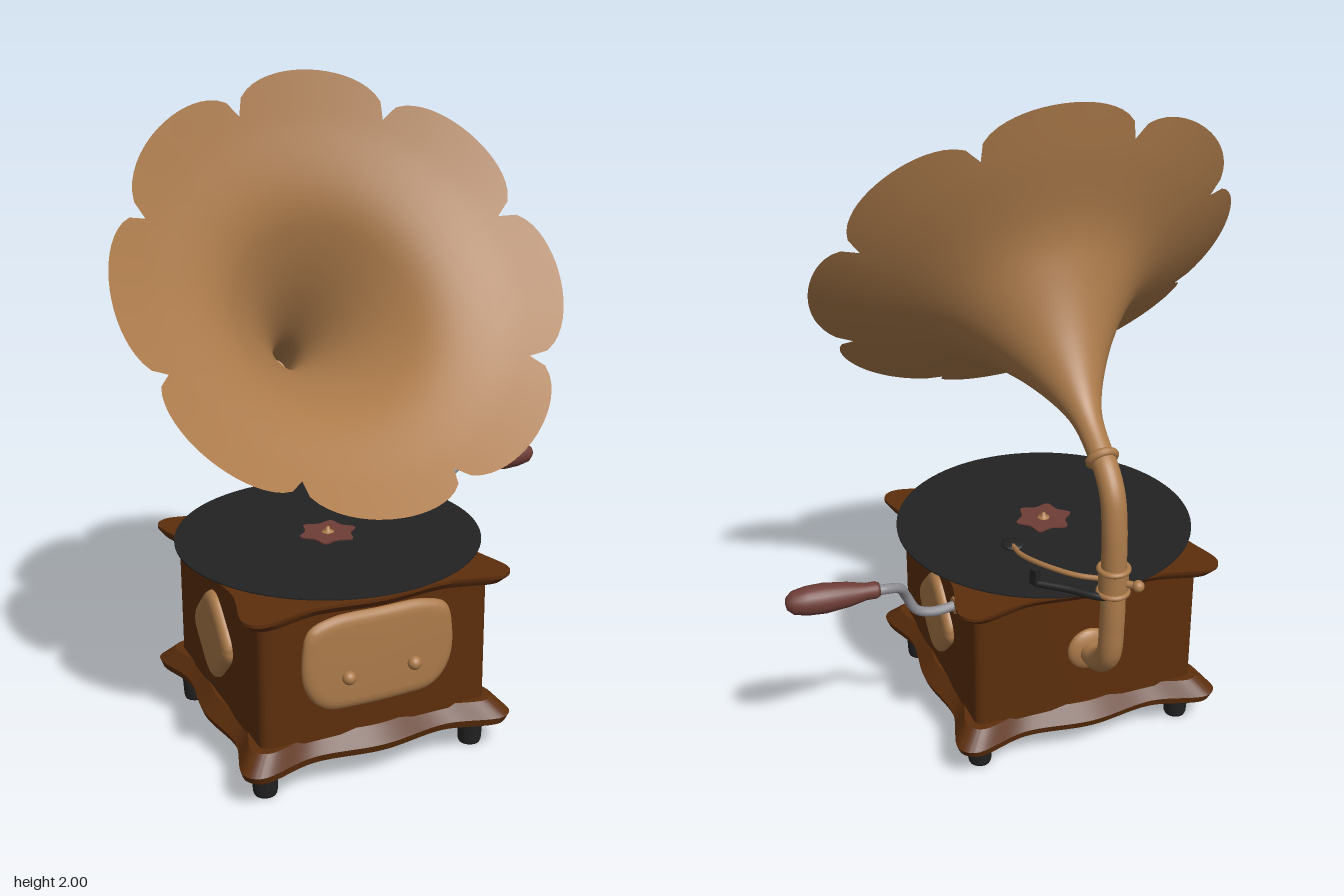
import * as THREE from 'three';
import { toCreasedNormals } from 'three/addons/utils/BufferGeometryUtils.js';

const mat = (name, color, extra = {}) => Object.assign(new THREE.MeshStandardMaterial({ color, ...extra }), { name });
const V2 = (x, y) => new THREE.Vector2(x, y);
const V3 = (x, y, z) => new THREE.Vector3(x, y, z);

function add(parent, name, geometry, material, x = 0, y = 0, z = 0) {
  const mesh = new THREE.Mesh(geometry, material);
  mesh.name = name;
  mesh.position.set(x, y, z);
  parent.add(mesh);
  return mesh;
}

const tube = (points, r, n = 48, sides = 16) =>
  new THREE.TubeGeometry(new THREE.CatmullRomCurve3(points.map(p => V3(...p))), n, r, sides);
const lathe = (points, n = 32) => new THREE.LatheGeometry(points.map(p => V2(...p)), n);

// closed smooth outline through a few points
const outline = (points, n = 96) =>
  new THREE.Shape(new THREE.CatmullRomCurve3(points.map(p => V3(p[0], p[1], 0)), true, 'centripetal')
    .getPoints(n).slice(0, n).map(p => V2(p.x, p.y)));

// upright slab whose outline is scaled by a rule of the relative height
function slab(shape, height, steps, scaleAt = () => 1) {
  const g = new THREE.ExtrudeGeometry(shape, { depth: height, steps, bevelEnabled: false });
  g.rotateX(-Math.PI / 2);
  const p = g.attributes.position;
  for (let i = 0; i < p.count; i++) {
    const s = scaleAt(p.getY(i) / height);
    p.setX(i, p.getX(i) * s);
    p.setZ(i, p.getZ(i) * s);
  }
  return toCreasedNormals(g, 0.6);
}

// wavy rectangular board with flared corners
function wavyShape(w, d, dip) {
  const pts = [];
  for (const [sx, sy, alongX] of [[1, 1, true], [-1, 1, false], [-1, -1, true], [1, -1, false]]) {
    const order = sx * sy > 0 ? 1 : -1;
    for (const t of [0.91, 0.5, 0, -0.5, -0.91]) {
      const cut = Math.abs(t) === 0.5 ? dip : t === 0 ? dip * 0.4 : 0;
      pts.push(alongX ? [sx * w * t * order, sy * (d - cut)] : [sx * (w - cut), sy * d * t * -order]);
    }
  }
  return outline(pts, 160);
}

function roundedRect(w, d, r) {
  const s = new THREE.Shape();
  s.absarc(w - r, d - r, r, 0, Math.PI / 2);
  s.absarc(r - w, d - r, r, Math.PI / 2, Math.PI);
  s.absarc(r - w, r - d, r, Math.PI, Math.PI * 1.5);
  s.absarc(w - r, r - d, r, Math.PI * 1.5, Math.PI * 2);
  return s;
}

// low cushion-shaped ornament
const cushion = shape => toCreasedNormals(new THREE.ExtrudeGeometry(shape, {
  depth: 0.01, bevelThickness: 0.02, bevelSize: 0.035, bevelOffset: -0.035, bevelSegments: 4,
}), 0.8);

// flared bell along +z, its rim cut into eight petals
function bellGeometry() {
  const profile = new THREE.SplineCurve([[0, 0.036], [0.15, 0.05], [0.32, 0.132], [0.47, 0.245],
    [0.565, 0.355], [0.655, 0.55], [0.715, 0.675]].map(p => V2(...p)));
  const rows = 36, cols = 160, pos = [], idx = [];
  for (let i = 0; i <= rows; i++) {
    for (let j = 0; j < cols; j++) {
      const a = (j / cols) * Math.PI * 2, s = i / rows;
      const lobe = Math.sqrt(Math.abs(Math.cos(4 * a)));
      const p = profile.getPoint(s * (1 - 0.13 * (1 - lobe) * s ** 4));
      pos.push(p.y * Math.cos(a), p.y * Math.sin(a), p.x);
      if (i === rows) continue;
      const k = (j + 1) % cols, q = i * cols;
      idx.push(q + j, q + k, q + cols + k, q + j, q + cols + k, q + cols + j);
    }
  }
  const g = new THREE.BufferGeometry();
  g.setAttribute('position', new THREE.Float32BufferAttribute(pos, 3));
  g.setIndex(idx);
  g.computeVertexNormals();
  return g;
}

export function createModel() {
  const wood = mat('dark wood', 0x5c2e0c);
  const brass = mat('brass', 0xab7a4a);
  const brassSheet = mat('brass sheet', 0xab7a4a, { side: THREE.DoubleSide });
  const black = mat('black', 0x222222);
  const red = mat('red brown', 0x6e3d36);
  const steel = mat('steel', 0x8e8e94);

  const model = new THREE.Group();
  model.name = 'gramophone';
  const player = new THREE.Group();
  player.name = 'player';
  player.position.set(-0.13, 0, -0.012);
  player.rotation.y = -Math.PI / 9;
  model.add(player);

  // cabinet
  add(player, 'basePlate', slab(wavyShape(0.433, 0.422, 0.04), 0.07, 6,
    k => (k < 0.34 ? 0.98 + 0.06 * k : 1 - 0.15 * (k - 0.33))), wood, 0, 0.1);
  add(player, 'cabinet', slab(roundedRect(0.365, 0.358, 0.03), 0.41, 1), wood, 0, 0.16);
  add(player, 'topPlate', slab(wavyShape(0.42, 0.418, 0.032), 0.03, 3, k => 0.96 + 0.04 * Math.min(1, k * 1.5)),
    wood, 0, 0.565);

  // feet
  const foot = lathe([[0, 0], [0.033, 0], [0.036, 0.008], [0.039, 0.06], [0.043, 0.075], [0.043, 0.1], [0, 0.1]], 20);
  for (const x of [-0.34, 0.34]) for (const z of [-0.31, 0.31]) add(player, 'foot', foot, black, x, 0, z);

  // front ornament with two knobs
  const front = outline([[0, 0.15], [0.15, 0.147], [0.22, 0.118], [0.24, 0.04], [0.236, -0.05], [0.205, -0.11], [0.16, -0.14],
    [0.08, -0.148], [-0.08, -0.148], [-0.16, -0.14], [-0.205, -0.11], [-0.236, -0.05], [-0.24, 0.04], [-0.22, 0.118], [-0.15, 0.147]]);
  add(player, 'frontOrnament', cushion(front), brass, 0, 0.395, 0.35);
  for (const x of [-0.105, 0.105]) add(player, 'knob', new THREE.SphereGeometry(0.021, 20, 14), brass, x, 0.355, 0.385);

  // diamond ornaments on both sides
  const diamond = cushion(outline([[0.142, 0.02], [0.09, 0.08], [0.022, 0.136], [-0.022, 0.136], [-0.09, 0.08],
    [-0.142, 0.02], [-0.142, -0.02], [-0.09, -0.08], [-0.022, -0.136], [0.022, -0.136], [0.09, -0.08], [0.142, -0.02]]));
  for (const s of [-1, 1]) {
    add(player, 'sideOrnament', diamond, brass, s * 0.36, 0.37, -0.01).rotation.y = s * Math.PI / 2;
  }

  // turntable and record
  const petals = [];
  for (let i = 0; i < 12; i++) {
    const r = i % 2 ? 0.07 : 0.092, a = i * Math.PI / 6;
    petals.push([r * Math.cos(a), r * Math.sin(a)]);
  }
  add(player, 'turntable', new THREE.CylinderGeometry(0.263, 0.263, 0.03, 64), black, 0.005, 0.608, -0.005);
  add(player, 'record', new THREE.CylinderGeometry(0.468, 0.468, 0.004, 96), black, 0.005, 0.632, -0.005);
  add(player, 'recordLabel', slab(outline(petals), 0.004, 1), red, 0.005, 0.634, -0.005);
  add(player, 'spindle', lathe([[0.02, 0], [0.018, 0.004], [0.008, 0.007], [0.006, 0.018], [0, 0.02]], 16), brass, 0.005, 0.636, -0.005);

  // horn
  add(player, 'hornTube', tube([[0, 0.365, -0.34], [0, 0.37, -0.43], [0, 0.43, -0.498], [0, 0.55, -0.515], [0, 0.7, -0.515],
    [0, 0.87, -0.51], [0, 0.96, -0.49], [0, 1.02, -0.445], [0, 1.05, -0.40]], 0.037, 64, 24), brass);
  add(player, 'tubeFlange', new THREE.SphereGeometry(0.07, 28, 16), brass, 0, 0.365, -0.362).scale.z = 0.38;
  const horn = new THREE.Group();
  horn.name = 'horn';
  horn.position.set(0, 1.04, -0.415);
  horn.rotation.x = -0.61;
  player.add(horn);
  add(horn, 'bell', bellGeometry(), brassSheet).rotation.z = -0.075;
  add(horn, 'neckRing', new THREE.TorusGeometry(0.037, 0.013, 12, 32), brass);

  // tone arm joint
  add(player, 'collar', new THREE.CylinderGeometry(0.044, 0.044, 0.08, 28), brass, 0, 0.695, -0.515);
  for (const y of [0.66, 0.735]) {
    add(player, 'collarRing', new THREE.TorusGeometry(0.042, 0.009, 10, 28), brass, 0, y, -0.515).rotation.x = Math.PI / 2;
  }
  add(model, 'screw', tube([[0.046, 0.695, -0.5], [0.018, 0.695, -0.56]], 0.011, 4, 10), brass);
  add(model, 'screwHead', new THREE.SphereGeometry(0.018, 14, 10), brass, 0.015, 0.695, -0.565);

  // tone arm, sound head and arm rest
  add(model, 'toneArm', tube([[0.06, 0.69, -0.46], [0.1, 0.69, -0.4], [0.125, 0.685, -0.3], [0.12, 0.67, -0.18],
    [0.09, 0.658, -0.11]], 0.008, 32, 10), brass);
  add(model, 'soundHead', new THREE.SphereGeometry(0.038, 24, 14), black, 0.08, 0.655, -0.1).scale.y = 0.32;
  add(model, 'armRest', tube([[0.03, 0.655, -0.53], [0.09, 0.655, -0.49], [0.13, 0.655, -0.4], [0.18, 0.655, -0.31]],
    0.011, 24, 10), black);
  add(model, 'armRestPost', new THREE.BoxGeometry(0.02, 0.05, 0.025), black, 0.18, 0.677, -0.31);

  // crank
  add(player, 'crankSocket', new THREE.CylinderGeometry(0.026, 0.03, 0.02, 20), brass, 0.37, 0.51, -0.2).rotation.z = -Math.PI / 2;
  add(model, 'crankRod', tube([[0.27, 0.51, -0.075], [0.36, 0.51, -0.055], [0.41, 0.53, -0.04], [0.445, 0.59, -0.038],
    [0.48, 0.64, -0.055], [0.53, 0.663, -0.062], [0.58, 0.668, -0.05]], 0.015, 40, 12), steel);
  const handle = add(model, 'crankHandle', lathe([[0, 0], [0.02, 0], [0.025, 0.01], [0.025, 0.04], [0.036, 0.09],
    [0.044, 0.16], [0.042, 0.21], [0.034, 0.25], [0.018, 0.268], [0, 0.272]], 24), red, 0.555, 0.67, -0.058);
  handle.quaternion.setFromUnitVectors(V3(0, 1, 0), V3(0.25, 0.008, 0.1).normalize());

  return model;
}
